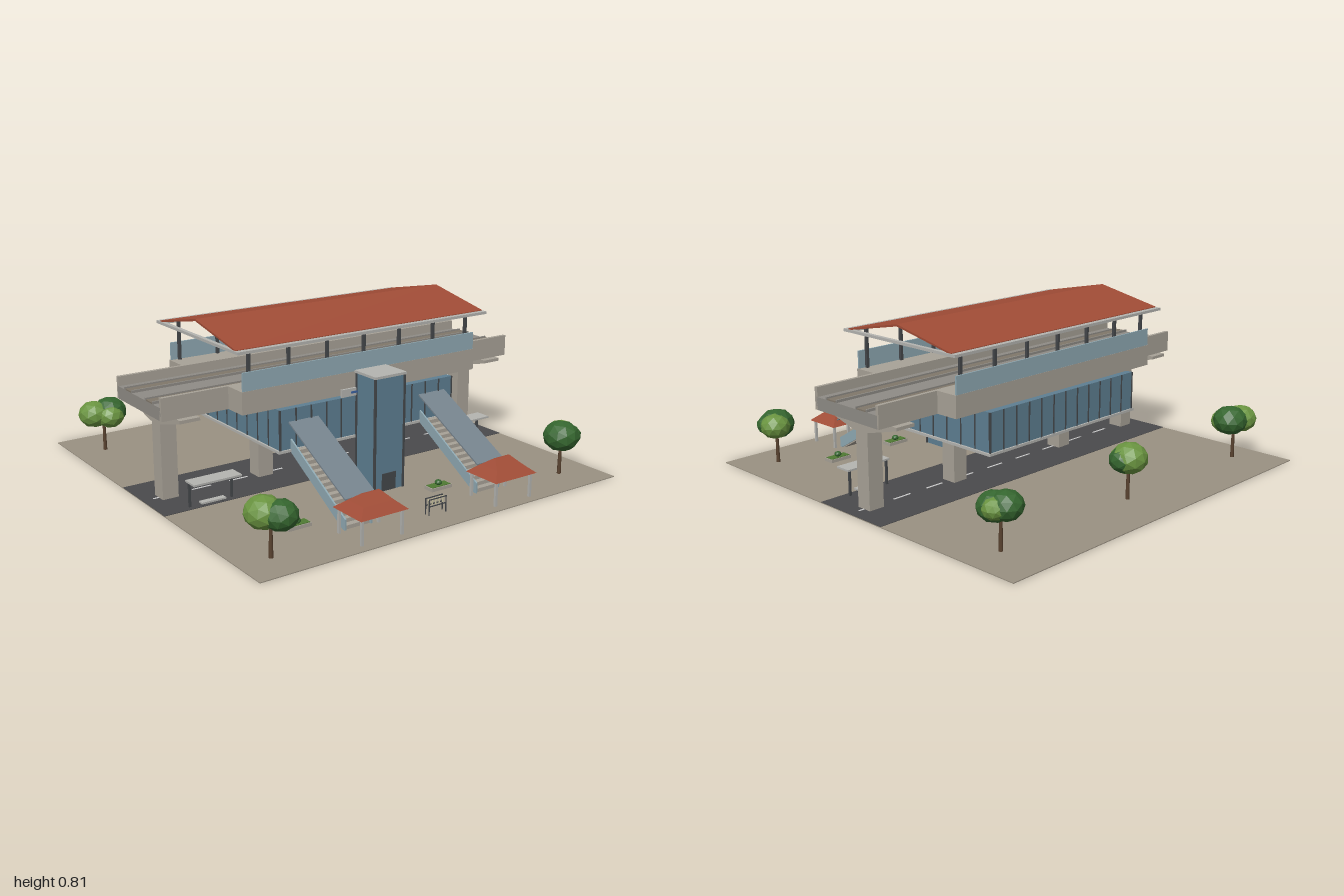
import * as THREE from 'three';

const mat = (color, extra = {}) => new THREE.MeshStandardMaterial({ color, ...extra });
const M = {
  paving: mat(0x9a9182), road: mat(0x4a4a4c), white: mat(0xe0e0dc),
  concrete: mat(0xa8a297), deck: mat(0x8f8c86), ballast: mat(0x80776a),
  metal: mat(0xb4b4b0), dark: mat(0x44474a), glass: mat(0x5e7f92),
  paleGlass: mat(0x8fa9b3), stairRoof: mat(0x76838d), blue: mat(0x3c62a0),
  cream: mat(0xcfc8a4), roof: mat(0xa04c36, { flatShading: true, side: THREE.DoubleSide }),
  trunk: mat(0x5a4330), leafLight: mat(0x6a9440, { flatShading: true }),
  leafDark: mat(0x35662f, { flatShading: true }), grass: mat(0x4f7a33),
};

function add(parent, name, geometry, material) {
  const mesh = new THREE.Mesh(geometry, material);
  mesh.name = name;
  parent.add(mesh);
  return mesh;
}

// Box given by its limits on each axis
function box(parent, name, material, x0, x1, y0, y1, z0, z1) {
  const mesh = add(parent, name, new THREE.BoxGeometry(x1 - x0, y1 - y0, z1 - z0), material);
  mesh.position.set((x0 + x1) / 2, (y0 + y1) / 2, (z0 + z1) / 2);
  return mesh;
}

function group(parent, name, x = 0, z = 0) {
  const g = new THREE.Group();
  g.name = name;
  g.position.set(x, 0, z);
  parent.add(g);
  return g;
}

// Outline of [z, y] points, extruded along x between x0 and x1
function prism(parent, name, material, points, x0, x1) {
  const shape = new THREE.Shape(points.map(([z, y]) => new THREE.Vector2(-z, y)));
  const geo = new THREE.ExtrudeGeometry(shape, { depth: x1 - x0, bevelEnabled: false });
  geo.rotateY(Math.PI / 2).translate(x0, 0, 0);
  return add(parent, name, geo, material);
}

function buildViaduct(root) {
  const g = group(root, 'viaduct');
  box(g, 'deck', M.deck, -1, 1, 0.44, 0.5, -0.21, 0.21);
  for (const s of [-1, 1]) {
    const at = (n, m, z, w, y0, y1) => box(g, n, m, -1, 1, y0, y1, s * z - w / 2, s * z + w / 2);
    at('parapet', M.concrete, 0.21, 0.018, 0.44, 0.545);
    at('trackBed', M.ballast, 0.103, 0.055, 0.5, 0.506);
    for (const d of [-0.035, 0.035]) at('rail', M.deck, 0.103 + d, 0.008, 0.5, 0.512);
  }
  for (const x of [-0.88, -0.37, 0.37, 0.88]) {
    box(g, 'pier', M.concrete, x - 0.04, x + 0.04, 0, 0.38, -0.04, 0.04);
    prism(g, 'pierCap', M.concrete,
      [[-0.25, 0.44], [-0.25, 0.425], [-0.04, 0.37], [0.04, 0.37], [0.25, 0.425], [0.25, 0.44]], x - 0.05, x + 0.05);
  }
}

function buildStation(root) {
  const g = group(root, 'station');
  // Glazed concourse under the tracks
  box(g, 'concourse', M.glass, -0.5, 0.5, 0.25, 0.44, -0.372, 0.372);
  box(g, 'concourseFloor', M.metal, -0.51, 0.51, 0.24, 0.252, -0.38, 0.38);
  for (const s of [-1, 1]) {
    for (let i = 0; i <= 12; i++) {
      const x = -0.498 + i * 0.083;
      box(g, 'mullion', M.dark, x - 0.003, x + 0.003, 0.25, 0.44, s * 0.373 - 0.003, s * 0.373 + 0.003);
    }
    for (let i = 0; i <= 8; i++) {
      const z = -0.37 + i * 0.0925;
      box(g, 'mullion', M.dark, s * 0.5 - 0.003, s * 0.5 + 0.003, 0.25, 0.44, z - 0.003, z + 0.003);
    }
    // Platform, screen and canopy columns on each side
    box(g, 'platform', M.concrete, -0.67, 0.67, 0.44, 0.545, s * 0.277 - 0.06, s * 0.277 + 0.06);
    box(g, 'screen', M.paleGlass, -0.665, 0.665, 0.545, 0.63, s * 0.332 - 0.004, s * 0.332 + 0.004);
    for (let i = -3; i <= 3; i++) {
      box(g, 'column', M.dark, i * 0.208 - 0.007, i * 0.208 + 0.007, 0.545, 0.735, s * 0.318 - 0.007, s * 0.318 + 0.007);
    }
    // Canopy edge beams
    box(g, 'eaveBeam', M.metal, -0.71, 0.71, 0.724, 0.737, s * 0.355 - 0.022, s * 0.355 + 0.022);
    box(g, 'endBeam', M.metal, s * 0.7 - 0.01, s * 0.7 + 0.01, 0.724, 0.737, -0.34, 0.34);
  }
  prism(g, 'canopyRoof', M.roof,
    [[-0.35, 0.732], [0, 0.802], [0.35, 0.732], [0.35, 0.74], [0, 0.812], [-0.35, 0.74]], -0.705, 0.705);
  // Plain sign panel
  box(g, 'signPanel', M.metal, -0.17, 0.165, 0.445, 0.482, 0.372, 0.384);
  box(g, 'signStripe', M.blue, -0.12, 0.12, 0.458, 0.468, 0.383, 0.387);
}

function buildLift(root) {
  const g = group(root, 'liftTower');
  box(g, 'shaft', M.glass, -0.083, 0.083, 0, 0.55, 0.37, 0.52);
  box(g, 'shaftCap', M.metal, -0.09, 0.09, 0.55, 0.562, 0.37, 0.528);
  for (const x of [-0.083, 0.083]) for (const z of [0.38, 0.52]) {
    box(g, 'cornerPost', M.dark, x - 0.005, x + 0.005, 0, 0.55, z - 0.005, z + 0.005);
  }
  box(g, 'doors', M.dark, -0.04, 0.04, 0.005, 0.09, 0.519, 0.523);
}

// Hipped roof made from stacked rectangular rings [halfX, y, halfZ]
function hipRoof(rings) {
  const pos = [], idx = [];
  for (const [a, y, b] of rings) pos.push(-a, y, b, a, y, b, a, y, -b, -a, y, -b);
  for (let r = 0; r < rings.length - 1; r++) for (let i = 0; i < 4; i++) {
    const p = r * 4 + i, q = r * 4 + (i + 1) % 4;
    idx.push(p, q, q + 4, p, q + 4, p + 4);
  }
  const geo = new THREE.BufferGeometry();
  geo.setAttribute('position', new THREE.Float32BufferAttribute(pos, 3));
  geo.setIndex(idx);
  const flat = geo.toNonIndexed();
  flat.computeVertexNormals();
  return flat;
}

function buildStair(root, x) {
  const g = group(root, 'entranceStair', x);
  for (const s of [-1, 1]) {
    prism(g, 'balustrade', M.paleGlass,
      [[0.79, 0.005], [0.79, 0.055], [0.375, 0.3], [0.375, 0.24], [0.775, 0.005]], s * 0.069 - 0.004, s * 0.069 + 0.004);
  }
  // Stepped flight with a sloping underside
  const steps = 14, flight = [[0.78, 0.004]];
  for (let i = 0; i < steps; i++) {
    const y = 0.004 + (i + 1) * 0.246 / steps;
    flight.push([0.78 - i * 0.405 / steps, y], [0.78 - (i + 1) * 0.405 / steps, y]);
  }
  flight.push([0.375, 0.232], [0.765, 0.004]);
  prism(g, 'steps', M.concrete, flight, -0.066, 0.066);
  prism(g, 'stairRoof', M.stairRoof, [[0.8, 0.145], [0.8, 0.153], [0.37, 0.382], [0.37, 0.374]], -0.08, 0.08);
  // Entrance pavilion
  const p = group(g, 'pavilion', 0, 0.873);
  add(p, 'pavilionRoof', hipRoof([[0.115, 0.118, 0.09], [0.125, 0.12, 0.1], [0.08, 0.158, 0.055], [0.045, 0.195, 0.004], [0, 0.195, 0]]), M.roof);
  for (const a of [-0.105, 0.105]) for (const b of [-0.08, 0.08]) {
    box(p, 'post', M.metal, a - 0.006, a + 0.006, 0, 0.13, b - 0.006, b + 0.006);
  }
}

function buildShelter(root, x) {
  const g = group(root, 'busShelter', x, 0.21);
  box(g, 'shelterRoof', M.metal, -0.122, 0.122, 0.125, 0.134, -0.04, 0.042);
  for (const a of [-0.108, 0.108]) box(g, 'post', M.dark, a - 0.005, a + 0.005, 0, 0.125, -0.036, -0.026);
  box(g, 'bench', M.metal, -0.062, 0.062, 0.016, 0.024, -0.03, 0);
  for (const a of [-0.05, 0.05]) box(g, 'benchLeg', M.dark, a - 0.004, a + 0.004, 0, 0.016, -0.02, -0.01);
}

function buildPlanter(root, x) {
  const g = group(root, 'planter', x, 0.635);
  box(g, 'tub', M.concrete, -0.06, 0.06, 0, 0.02, -0.028, 0.028);
  box(g, 'planting', M.grass, -0.054, 0.054, 0.018, 0.023, -0.023, 0.023);
  const bush = add(g, 'bush', new THREE.IcosahedronGeometry(0.018, 1), M.leafDark);
  bush.position.y = 0.033;
  bush.scale.y = 0.75;
}

// Crown blobs: [dx, y, dz, radius, light?]
function buildTree(root, x, z, blobs) {
  const g = group(root, 'tree', x, z);
  const trunk = add(g, 'trunk', new THREE.CylinderGeometry(0.007, 0.01, 0.17, 7), M.trunk);
  trunk.position.y = 0.085;
  blobs.forEach(([dx, y, dz, r, light], i) => {
    const crown = add(g, 'crown', new THREE.IcosahedronGeometry(r, 1), light ? M.leafLight : M.leafDark);
    crown.position.set(dx, y, dz);
    crown.scale.y = 0.85;
    crown.rotation.y = i * 1.3 + x;
  });
}

export function createModel() {
  const root = new THREE.Group();
  root.name = 'elevatedStation';

  // Ground and road
  box(root, 'ground', M.paving, -1, 1, 0, 0.004, -1, 1);
  box(root, 'road', M.road, -1, 1, 0.003, 0.006, -0.21, 0.21);
  for (let i = 0; i < 10; i++) {
    box(root, 'laneMark', M.white, -0.95 + i * 0.2, -0.85 + i * 0.2, 0.005, 0.0075, -0.005, 0.005);
  }

  buildViaduct(root);
  buildStation(root);
  buildLift(root);
  for (const s of [-1, 1]) {
    buildStair(root, s * 0.373);
    buildShelter(root, s * 0.75);
  }
  for (const x of [-0.587, -0.21, 0.205, 0.58]) buildPlanter(root, x);

  // Bicycle rack on the forecourt
  const rack = group(root, 'bicycleRack', 0, 0.857);
  for (const z of [-0.012, 0.012]) {
    for (const y of [0.046, 0.078]) box(rack, 'rackRail', M.dark, -0.05, 0.05, y - 0.002, y + 0.002, z - 0.002, z + 0.002);
    for (const x of [-0.048, 0.048]) box(rack, 'rackLeg', M.dark, x - 0.002, x + 0.002, 0, 0.08, z - 0.002, z + 0.002);
  }
  for (let i = -2; i <= 2; i++) box(rack, 'rackBar', M.cream, i * 0.02 - 0.003, i * 0.02 + 0.003, 0.046, 0.078, -0.002, 0.002);

  // Trees
  buildTree(root, -0.84, -0.76, [[-0.045, 0.2, -0.01, 0.08, 1], [0.035, 0.205, 0, 0.086, 0], [0.02, 0.19, 0.04, 0.07, 1]]);
  buildTree(root, 0, -0.755, [[-0.005, 0.2, 0, 0.088, 1], [0.015, 0.195, 0.01, 0.075, 0]]);
  buildTree(root, 0.82, -0.755, [[-0.01, 0.205, -0.02, 0.078, 0], [0.01, 0.195, 0.025, 0.08, 0], [0.035, 0.2, 0, 0.06, 1]]);
  buildTree(root, -0.845, 0.835, [[-0.02, 0.2, -0.02, 0.085, 1], [0.025, 0.195, 0.035, 0.078, 0]]);
  buildTree(root, 0.81, 0.82, [[0.02, 0.2, -0.02, 0.075, 1], [-0.01, 0.2, 0.01, 0.088, 0], [0.03, 0.2, 0.02, 0.06, 0]]);
  return root;
}
